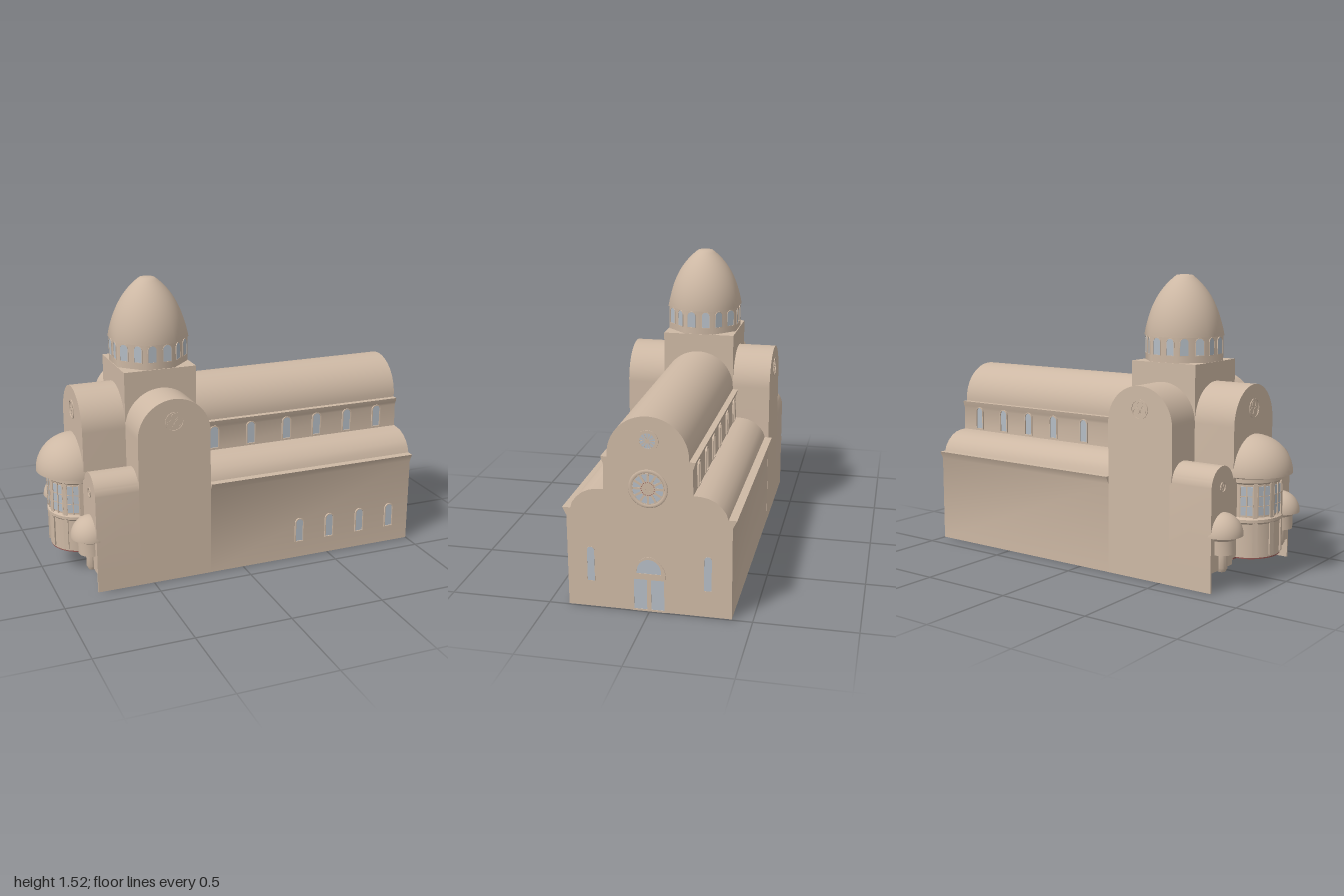
import * as THREE from 'three';
import { toCreasedNormals } from 'three/addons/utils/BufferGeometryUtils.js';

const mat = (name, color, side = THREE.FrontSide) => {
  const m = new THREE.MeshStandardMaterial({ color, side });
  m.name = name;
  return m;
};

export function createModel() {
  const stone = mat('stone', 0xcdb8a4);
  const glass = mat('glass', 0xb4bcc4, THREE.DoubleSide);
  const slate = mat('floorSlate', 0x93999c);
  const red = mat('redFloor', 0x935854);
  const model = new THREE.Group();
  model.name = 'church';

  const mesh = (name, geo, m, parent = model) => {
    const o = new THREE.Mesh(geo, m);
    o.name = name;
    parent.add(o);
    return o;
  };
  const box = (name, m, x0, x1, y0, y1, z0, z1, parent = model) => {
    const o = mesh(name, new THREE.BoxGeometry(x1 - x0, y1 - y0, z1 - z0), m, parent);
    o.position.set((x0 + x1) / 2, (y0 + y1) / 2, (z0 + z1) / 2);
    return o;
  };
  const extrude = (shape, depth) => toCreasedNormals(
    new THREE.ExtrudeGeometry(shape, { depth, bevelEnabled: false, curveSegments: 20 }), 0.5);

  // Round-topped outline: width w, from y0 to the crown y1
  const arch = (w, y0, y1, Type = THREE.Shape) => {
    const s = new Type(), r = w / 2;
    s.moveTo(-r, y0);
    s.lineTo(r, y0);
    s.lineTo(r, y1 - r);
    s.absarc(0, y1 - r, r, 0, Math.PI, false);
    s.lineTo(-r, y0);
    return s;
  };
  // Extrusion running along x
  const alongX = (name, shape, x0, x1, z = 0) => {
    const o = mesh(name, extrude(shape, x1 - x0), stone);
    o.rotation.y = Math.PI / 2;
    o.position.set(x0, 0, z);
    return o;
  };
  const FRONT = 0, BACK = Math.PI, EAST = Math.PI / 2, WEST = -Math.PI / 2;
  const place = (o, dir, x, y, z, parent = model) => {
    o.rotation.y = dir;
    o.position.set(x, y, z);
    parent.add(o);
    return o;
  };

  // Arched window with a raised frame
  const archWindow = (w, h, frame = 0.005, deep = 0.006) => {
    const g = new THREE.Group();
    g.name = 'archedWindow';
    const s = arch(w, 0, h);
    s.holes.push(arch(w - 2 * frame, frame, h - frame, THREE.Path));
    mesh('windowFrame', extrude(s, deep), stone, g);
    mesh('windowGlass', new THREE.ShapeGeometry(arch(w - 2 * frame, frame, h - frame)), glass, g).position.z = 0.002;
    return g;
  };
  const flatRing = (r, hole, depth) => {
    const s = new THREE.Shape().absarc(0, 0, r, 0, Math.PI * 2, false);
    s.holes.push(new THREE.Path().absarc(0, 0, hole, 0, Math.PI * 2, true));
    return extrude(s, depth);
  };
  // Round window: outer ring, glass, spokes and hub
  const roseWindow = (r, rGlass, rHub, spokes, thick) => {
    const g = new THREE.Group();
    g.name = 'roseWindow';
    mesh('roseRing', flatRing(r, rGlass, 0.003), stone, g);
    mesh('roseGlass', new THREE.CircleGeometry(rGlass, 40), glass, g).position.z = 0.001;
    for (let i = 0; i < spokes; i++) {
      const a = (i / spokes) * Math.PI * 2;
      const o = mesh('roseSpoke', new THREE.BoxGeometry(rGlass, thick, 0.002), stone, g);
      o.position.set(Math.cos(a) * rGlass / 2, Math.sin(a) * rGlass / 2, 0.0015);
      o.rotation.z = a;
    }
    mesh('roseHub', new THREE.CircleGeometry(rHub, 24), stone, g).position.z = 0.0028;
    return g;
  };
  // Blind round window with three small rings of tracery
  const oculus = (r) => {
    const g = new THREE.Group();
    g.name = 'oculus';
    mesh('oculusRing', flatRing(r, r * 0.9, 0.004), stone, g);
    for (let i = 0; i < 3; i++) {
      const a = Math.PI / 2 + i * Math.PI * 2 / 3;
      mesh('tracery', flatRing(r * 0.38, r * 0.3, 0.002), stone, g)
        .position.set(Math.cos(a) * r * 0.45, Math.sin(a) * r * 0.45, 0);
    }
    return g;
  };

  // Nave and aisles: one cross-section, mirrored
  const half = [[0.40, 0], [0.40, 0.465], [0.42, 0.505], [0.38, 0.505], [0.37, 0.535],
    [0.35, 0.562], [0.32, 0.588], [0.285, 0.604], [0.25, 0.61], [0.215, 0.612], [0.212, 0.735],
    [0.218, 0.75], [0.225, 0.775], [0.195, 0.775]];
  const section = new THREE.Shape();
  section.moveTo(-0.4, 0);
  half.forEach(([u, y]) => section.lineTo(u, y));
  section.absarc(0, 0.787, 0.195, 0, Math.PI, false);
  half.slice(1).reverse().forEach(([u, y]) => section.lineTo(-u, y));
  const east = 0.997;
  alongX('nave', section, -0.187, east);

  // Clerestory windows on both sides, aisle windows on the front side
  const xs = [-0.095, 0.115, 0.325, 0.505, 0.69, 0.875];
  xs.forEach((x, i) => {
    place(archWindow(0.054, 0.128, 0.005, 0.009), FRONT, x, 0.62, 0.213);
    place(archWindow(0.054, 0.128, 0.005, 0.009), BACK, x, 0.62, -0.213);
    if (i > 1) place(archWindow(0.052, 0.137, 0.005, 0.009), FRONT, x, 0.091, 0.4);
  });

  // Entrance facade, with a beaded ring on the large rose
  place(roseWindow(0.052, 0.037, 0.008, 12, 0.004), EAST, east, 0.865, 0);
  const rose = place(roseWindow(0.078, 0.074, 0.038, 12, 0.011), EAST, east, 0.63, 0);
  for (let i = 0; i < 20; i++) {
    const a = i * Math.PI / 10;
    mesh('roseBead', new THREE.CircleGeometry(0.0025, 8), red, rose)
      .position.set(Math.cos(a) * 0.032, Math.sin(a) * 0.032, 0.003);
  }
  mesh('roseInnerRing', flatRing(0.016, 0.012, 0.003), stone, rose);
  const moulding = mesh('roseMoulding', new THREE.TorusGeometry(0.086, 0.009, 8, 48), stone);
  moulding.scale.z = 0.33;
  place(moulding, EAST, east, 0.63, 0);
  for (const s of [-1, 1]) place(archWindow(0.038, 0.178, 0.001, 0.003), EAST, east, 0.135, s * 0.285);
  const door = new THREE.Group();
  door.name = 'door';
  const outline = (S, w, y0, spring, top) => {
    S.moveTo(-w, y0);
    S.lineTo(w, y0);
    S.lineTo(w, spring);
    S.bezierCurveTo(w, spring + 0.05, w * 0.45, top, 0, top);
    S.bezierCurveTo(-w * 0.45, top, -w, spring + 0.05, -w, spring);
    S.lineTo(-w, y0);
    return S;
  };
  const frame = outline(new THREE.Shape(), 0.082, 0, 0.185, 0.284);
  frame.holes.push(outline(new THREE.Path(), 0.06, 0.197, 0.2, 0.27));
  for (const s of [-1, 1]) {
    const p = new THREE.Path();
    p.moveTo(s * 0.01, 0.01);
    p.lineTo(s * 0.074, 0.01);
    p.lineTo(s * 0.074, 0.166);
    p.lineTo(s * 0.01, 0.166);
    p.closePath();
    frame.holes.push(p);
  }
  mesh('doorFrame', extrude(frame, 0.003), stone, door);
  mesh('doorGlass', new THREE.ShapeGeometry(outline(new THREE.Shape(), 0.078, 0.005, 0.185, 0.278)), glass, door).position.z = 0.001;
  place(door, EAST, east, 0, 0);

  // Transept, with an oculus at each end
  const cx = -0.38;
  mesh('transept', extrude(arch(0.386, 0, 0.982), 0.802), stone).position.set(cx, 0, -0.401);
  place(oculus(0.05), FRONT, cx, 0.865, 0.401);
  place(oculus(0.05), BACK, cx, 0.865, -0.401);

  // Choir and side chapels, open below
  alongX('choir', arch(0.39, 0.13, 0.982), -0.8, -0.56);
  place(oculus(0.05), WEST, -0.8, 0.86, 0);
  for (const s of [-1, 1]) {
    alongX('chapel', arch(0.206, 0.1, 0.614), -0.8, -0.56, s * 0.298);
    box('chapelWall', stone, -0.8, -0.56, 0, 0.12, s * 0.396 - 0.005, s * 0.396 + 0.005);
    place(oculus(0.025), WEST, -0.8, 0.51, s * 0.298);
  }

  // Crossing tower and octagonal drum
  box('towerBase', stone, cx - 0.193, cx + 0.193, 0.6, 1.08, -0.195, 0.195);
  const oct = Math.cos(Math.PI / 8);
  const drum = mesh('drum', new THREE.CylinderGeometry(0.19 / oct, 0.19 / oct, 0.15, 8), stone);
  drum.rotation.y = Math.PI / 8;
  drum.position.set(cx, 1.145, 0);
  for (let i = 0; i < 8; i++) {
    const face = new THREE.Group();
    face.name = 'drumFace';
    for (const s of [-1, 1]) place(archWindow(0.048, 0.09, 0.0025, 0.004), 0, s * 0.04, 1.115, 0.19, face);
    place(face, i * Math.PI / 4, cx, 0, 0);
  }

  // Ogival dome, octagonal at its foot and round above
  const lathe = (pts, seg) => new THREE.LatheGeometry(pts.map(([r, y]) => new THREE.Vector2(r, y)), seg);
  const profile = [];
  for (let i = 0; i <= 24; i++) {
    const h = 0.31 * i / 24;
    profile.push([0.195 - 0.388 + Math.sqrt(0.388 ** 2 - h * h), 1.208 + h]);
  }
  const domeGeo = lathe([...profile, [0.02, 1.52], [0, 1.522]], 64);
  const p = domeGeo.attributes.position;
  for (let i = 0; i < p.count; i++) {
    const a = Math.atan2(p.getX(i), p.getZ(i)), q = Math.PI / 4;
    const off = a - Math.round(a / q) * q;
    const k = Math.max(0, 1 - (p.getY(i) - 1.208) / 0.2) ** 2;
    const f = 1 + k * (1 / Math.cos(off) - 1);
    p.setX(i, p.getX(i) * f);
    p.setZ(i, p.getZ(i) * f);
  }
  mesh('dome', domeGeo, stone).position.x = cx;

  // Main apse: moulded drum, windows, pilasters and half dome
  const apse = new THREE.Group();
  apse.name = 'mainApse';
  apse.position.x = -0.8;
  const apseDrum = mesh('apseDrum', toCreasedNormals(lathe([[0, 0.13], [0.14, 0.13], [0.14, 0.3], [0.15, 0.31],
    [0.15, 0.325], [0.138, 0.335], [0.138, 0.5], [0.15, 0.51], [0.15, 0.53], [0.165, 0.545]], 40), 0.5), stone, apse);
  apseDrum.scale.z = 1.15;
  const ring = new THREE.Group();
  ring.name = 'apseOpenings';
  ring.scale.z = 1.15;
  apse.add(ring);
  for (let i = -2; i <= 2; i++) {
    const a = WEST + i * 0.6;
    const bay = place(new THREE.Group(), a, 0, 0, 0, ring);
    bay.name = 'apseBay';
    box('apseGlass', glass, -0.03, 0.03, 0.345, 0.49, 0.133, 0.14, bay);
    for (const x of [-0.032, 0, 0.032]) box('mullion', stone, x - 0.003, x + 0.003, 0.335, 0.5, 0.133, 0.144, bay);
    for (const y of [0.39, 0.44]) box('glazingBar', stone, -0.03, 0.03, y, y + 0.004, 0.134, 0.142, bay);
    const pier = place(new THREE.Group(), a + 0.3, 0, 0, 0, ring);
    pier.name = 'pilaster';
    box('upperPilaster', stone, -0.01, 0.01, 0.33, 0.51, 0.13, 0.147, pier);
    box('lowerPilaster', stone, -0.012, 0.012, 0.14, 0.31, 0.13, 0.147, pier);
  }
  const halfDome = (r, h, y, parent) => {
    const o = mesh('apseDome', new THREE.SphereGeometry(1, 40, 16, 0, Math.PI * 2, 0, Math.PI / 2), stone, parent);
    o.scale.set(r, h, r);
    o.position.y = y;
    const d = mesh('apseDomeSoffit', new THREE.CircleGeometry(r, 40), stone, parent);
    d.rotation.x = Math.PI / 2;
    d.position.y = y;
  };
  halfDome(0.2, 0.19, 0.54, apse);
  model.add(apse);

  // Side apses
  for (const s of [-1, 1]) {
    const g = new THREE.Group();
    g.name = 'sideApse';
    g.position.set(-0.8, 0, s * 0.298);
    mesh('sideApseDrum', toCreasedNormals(lathe([[0, 0.09], [0.02, 0.09], [0.03, 0.11], [0.03, 0.175], [0.068, 0.185],
      [0.068, 0.255], [0.085, 0.275]], 32), 0.5), stone, g);
    halfDome(0.105, 0.11, 0.275, g);
    model.add(g);
  }

  // Undersides: slate floor and the red crossing, choir and apse floors
  box('slateFloor', slate, -0.5, 0.985, -0.001, 0.004, -0.39, 0.39);
  box('redCrossingFloor', red, -0.57, -0.25, -0.002, 0.002, -0.13, 0.13);
  box('redCrossFloor', red, -0.43, -0.38, -0.002, 0.002, -0.24, 0.24);
  mesh('redRoundFloor', new THREE.CylinderGeometry(0.13, 0.13, 0.004, 32), red).position.set(-0.25, 0, 0);
  box('redChoirFloor', red, -0.8, -0.57, 0.122, 0.132, -0.19, 0.19);
  const end = mesh('redApseFloor', new THREE.CylinderGeometry(0.138, 0.138, 0.008, 40), red);
  end.scale.z = 1.15;
  end.position.set(-0.8, 0.127, 0);
  return model;
}
